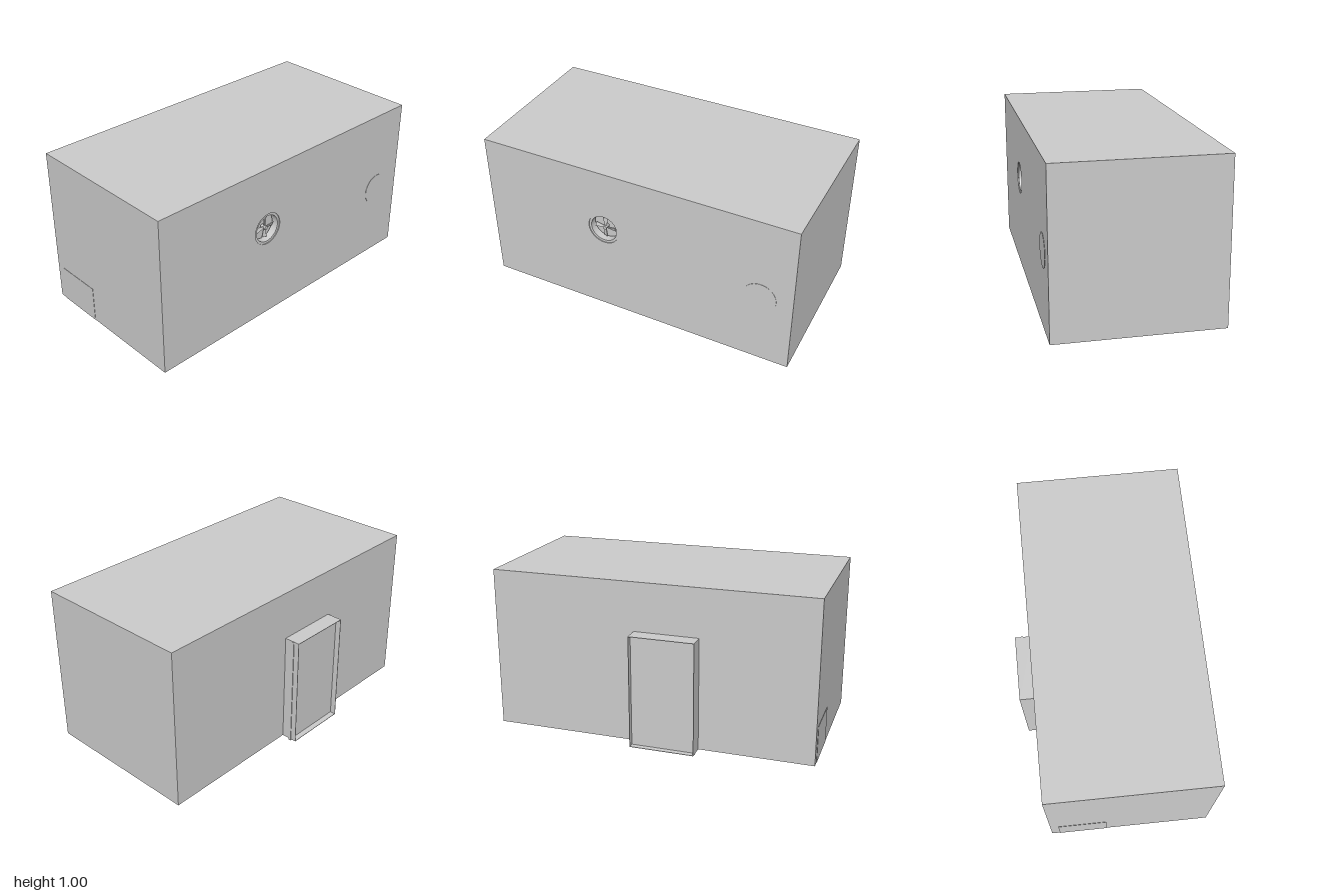
import * as THREE from 'three';

const material = new THREE.MeshStandardMaterial({ color: 0xcccccc, side: THREE.DoubleSide, flatShading: true });

// Main block extents
const LEFT = 0.548, RIGHT = -0.45, BOTTOM = 0.008, TOP = 1.005, BACK = -1, FRONT = 0.998;
const WALL = 0.06;

function add(parent, name, geometry, x = 0, y = 0, z = 0) {
  const mesh = new THREE.Mesh(geometry, material);
  mesh.name = name;
  mesh.position.set(x, y, z);
  parent.add(mesh);
  return mesh;
}

// Box given by its min and max on each axis
function block(parent, name, [x0, x1], [y0, y1], [z0, z1]) {
  return add(parent, name, new THREE.BoxGeometry(x1 - x0, y1 - y0, z1 - z0),
    (x0 + x1) / 2, (y0 + y1) / 2, (z0 + z1) / 2);
}

function extrude(shape, depth) {
  return new THREE.ExtrudeGeometry(shape, { depth, bevelEnabled: false, curveSegments: 32 });
}

// Round vent, built facing +z around its own centre with the wall surface at z = 0
function createVent() {
  const vent = new THREE.Group();
  vent.name = 'fanVent';

  // Outer ring sunk just below the wall surface
  const ring = new THREE.Shape().absarc(0, 0, 0.1, 0, Math.PI * 2);
  ring.holes.push(new THREE.Path().absarc(0, 0, 0.085, 0, Math.PI * 2, true));
  add(vent, 'ventRing', extrude(ring, 0.045), 0, 0, -0.05);

  // Hub and four blades that widen towards the tip
  const hub = new THREE.CylinderGeometry(0.012, 0.012, 0.035, 20).rotateX(Math.PI / 2);
  add(vent, 'fanHub', hub, 0, 0, -0.03);
  const blade = new THREE.Shape([[-0.005, 0.008], [0.005, 0.008], [0.015, 0.065], [-0.015, 0.065]]
    .map(([x, y]) => new THREE.Vector2(x, y)));
  const bladeGeometry = extrude(blade, 0.006).rotateY(0.35);
  for (let i = 0; i < 4; i++) {
    add(vent, 'fanBlade', bladeGeometry, 0, 0, -0.03).rotation.z = i * Math.PI / 2;
  }
  return vent;
}

// Shallow door box with a panel set back inside it
function createDoor() {
  const door = new THREE.Group();
  door.name = 'door';
  const x = [-0.55, RIGHT], y = [BOTTOM, 0.705], z = [-0.1, 0.3], t = 0.003;
  for (const [name, zz] of [['doorJambBack', [z[0], z[0] + t]], ['doorJambFront', [z[1] - t, z[1]]]]) {
    block(door, name, x, y, zz);
  }
  block(door, 'doorLintel', x, [y[1] - t, y[1]], z);
  block(door, 'doorSill', x, [y[0], y[0] + t], z);
  block(door, 'doorPanel', [-0.515, -0.5], [0, 0.702], [-0.104, 0.297]);
  return door;
}

export function createModel() {
  const model = new THREE.Group();
  model.name = 'building';

  // Solid block, with a separate left wall that has the vent opening
  block(model, 'mainBlock', [RIGHT, LEFT - WALL], [BOTTOM, TOP], [BACK, FRONT]);
  const wall = new THREE.Shape([[-FRONT, BOTTOM], [-BACK, BOTTOM], [-BACK, TOP], [-FRONT, TOP]]
    .map(([x, y]) => new THREE.Vector2(x, y)));
  wall.holes.push(new THREE.Path().absarc(-0.2, 0.607, 0.1, 0, Math.PI * 2, true));
  add(model, 'leftWall', extrude(wall, WALL).rotateY(Math.PI / 2), LEFT - WALL);

  const vent = createVent();
  vent.position.set(LEFT, 0.607, 0.2);
  vent.rotation.y = Math.PI / 2;
  model.add(vent);

  // Nearly flush round cover towards the back of the left wall
  const cover = new THREE.CylinderGeometry(0.1, 0.1, 0.002, 32).rotateZ(Math.PI / 2);
  add(model, 'roundCover', cover, LEFT + 0.001, 0.475, -0.8);

  // Thin hatch low on the front
  block(model, 'frontHatch', [-0.4, -0.1], [BOTTOM, 0.235], [FRONT - 0.005, 1]);

  model.add(createDoor());
  return model;
}
